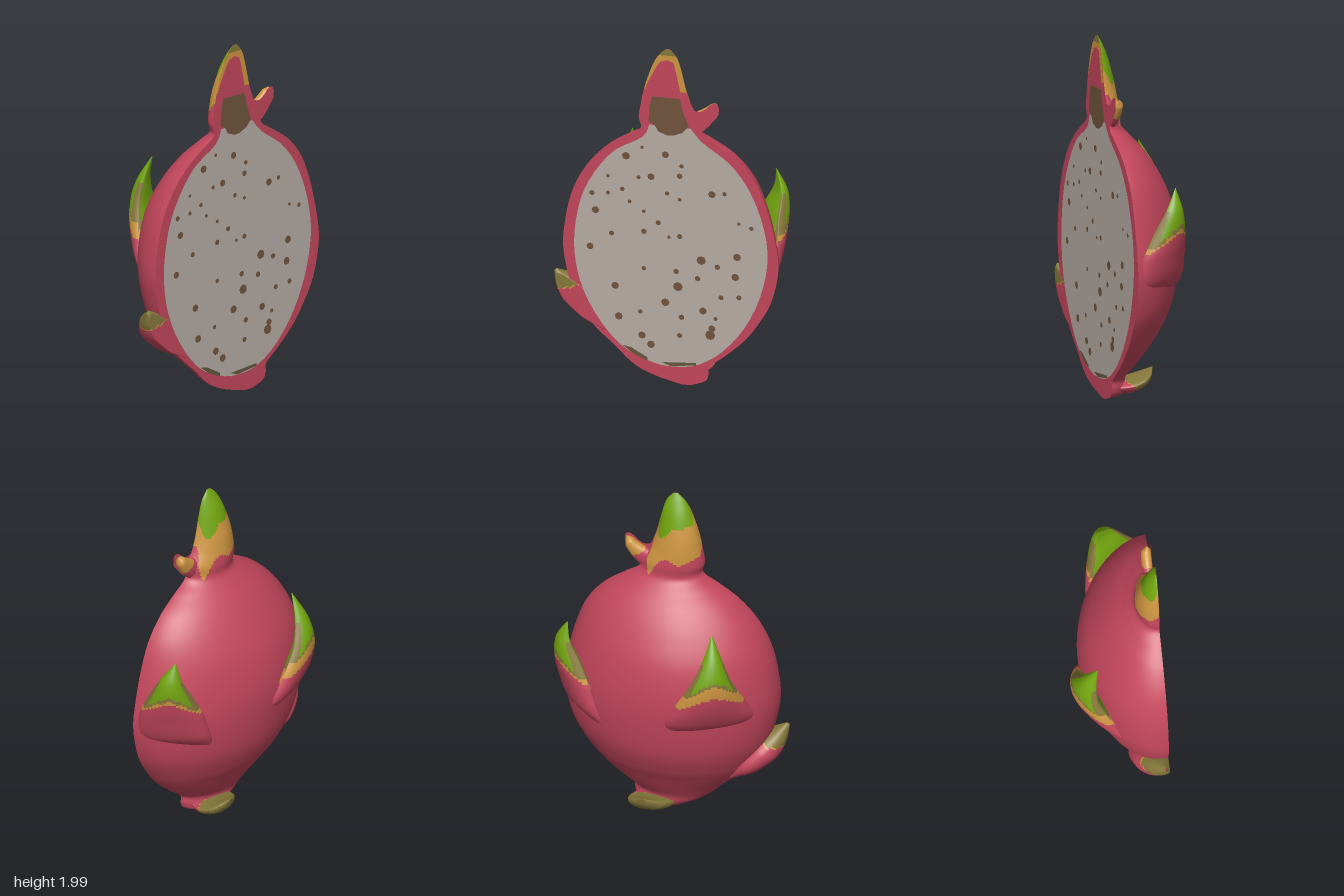
import * as THREE from 'three';
import { mergeGeometries } from 'three/addons/utils/BufferGeometryUtils.js';

const V = (x, y, z) => new THREE.Vector3(x, y, z);
const FRONT = 0.243; // z of the cut face

function mat(name, color) {
  const m = new THREE.MeshStandardMaterial({ color, side: THREE.DoubleSide });
  m.name = name;
  return m;
}

// Smooth surface through rings of points; pick() chooses a material index per quad
function loft(ring, nu, nv, pick) {
  const pos = [], buckets = [[], [], [], []];
  for (let i = 0; i <= nu; i++) {
    for (let j = 0; j <= nv; j++) pos.push(...ring(i / nu, j / nv).toArray());
  }
  for (let i = 0; i < nu; i++) {
    for (let j = 0; j < nv; j++) {
      const a = i * (nv + 1) + j, b = a + nv + 1;
      const u = (i + 0.5) / nu, v = (j + 0.5) / nv;
      buckets[pick(u, v, ring(u, v))].push(a, a + 1, b, a + 1, b + 1, b);
    }
  }
  const g = new THREE.BufferGeometry();
  g.setAttribute('position', new THREE.Float32BufferAttribute(pos, 3));
  g.setIndex(buckets.flat());
  let start = 0;
  buckets.forEach((b, k) => {
    if (b.length) g.addGroup(start, b.length, k);
    start += b.length;
  });
  g.computeVertexNormals();
  return g;
}

// Half rings of the fruit from bottom to tip: y, smallest x, largest x, depth
const RINGS = [
  [0.008, 0.08, 0.13, 0.03], [0.04, -0.05, 0.21, 0.12], [0.08, -0.15, 0.23, 0.14],
  [0.13, -0.22, 0.235, 0.15], [0.2, -0.29, 0.32, 0.195], [0.3, -0.4, 0.425, 0.26],
  [0.4, -0.47, 0.5, 0.325], [0.55, -0.54, 0.58, 0.39], [0.75, -0.58, 0.62, 0.425],
  [0.92, -0.57, 0.6, 0.43], [1.1, -0.53, 0.555, 0.395], [1.25, -0.455, 0.495, 0.325],
  [1.37, -0.35, 0.4, 0.245], [1.45, -0.24, 0.29, 0.17], [1.51, -0.15, 0.2, 0.12],
  [1.58, -0.16, 0.185, 0.12], [1.66, -0.148, 0.14, 0.113], [1.75, -0.13, 0.108, 0.098],
  [1.87, -0.093, 0.08, 0.065], [1.95, -0.055, 0.055, 0.03], [2, -0.008, 0.015, 0.003],
];
const minEdge = new THREE.CatmullRomCurve3(RINGS.map(r => V(r[1], r[0], r[3])), false, 'catmullrom');
const maxEdge = new THREE.CatmullRomCurve3(RINGS.map(r => V(r[2], r[0], r[3])), false, 'catmullrom');

function bodyPoint(u, v) {
  const l = minEdge.getPoint(u), r = maxEdge.getPoint(u), a = v * Math.PI;
  const s = Math.sin(a), c = Math.cos(a), d = Math.max(l.z, 0.002);
  const across = Math.sign(c) * Math.abs(c) ** (c < 0 ? 1.12 : 1.06);
  return V((l.x + r.x) / 2 + (r.x - l.x) / 2 * across - 0.1 * d * s, l.y, FRONT - d * s);
}

// Flat plate on the cut face
function plate(points, z, curved) {
  let pts = points.map(p => new THREE.Vector2(p[0], p[1]));
  if (curved) pts = new THREE.SplineCurve(pts).getPoints(pts.length * 3);
  return new THREE.ShapeGeometry(new THREE.Shape(pts)).translate(0, 0, z);
}

// Outline of the fruit between two heights
function outline(y0, y1) {
  const low = [], high = [];
  for (let i = 0; i <= 120; i++) {
    const a = minEdge.getPoint(i / 120), b = maxEdge.getPoint(i / 120);
    if (a.y < y0 || a.y > y1) continue;
    low.push([a.x, a.y]);
    high.unshift([b.x, b.y]);
  }
  return low.concat(high);
}

// Scale leaf: spine rows are x, y, z, half width, thickness.
// limits: where pink, orange and olive end along the leaf; arch lifts them mid-leaf
function leaf(rows, out, wide, limits, arch, inner) {
  const spine = new THREE.CatmullRomCurve3(rows.map(r => V(r[0], r[1], r[2])));
  const size = new THREE.CatmullRomCurve3(rows.map(r => V(r[3], r[4], 0)));
  const n = V(...out).normalize(), w = V(...wide).normalize();
  const ring = (u, v) => {
    const a = v * Math.PI * 2, s = Math.sin(a), d = size.getPoint(u);
    const p = spine.getPoint(u)
      .addScaledVector(w, d.x * Math.cos(a))
      .addScaledVector(n, d.y * (s > 0 ? s : s * inner));
    p.z = Math.min(p.z, FRONT + 0.0005);
    return p;
  };
  return loft(ring, 48, 40, (u, v) => {
    const a = v * Math.PI * 2, edge = Math.abs(Math.cos(a));
    const lift = Math.sin(a) > 0 ? -arch * (1 - edge) : 0.06;
    const t = u + 0.015 * Math.sin(a * 5) + lift;
    if (t < limits[0]) return 0;
    if (t < limits[1]) return 1;
    return t < limits[2] || (edge > 0.92 && u < 0.8) ? 3 : 2;
  });
}

// Seeds as x, y, radius in hundredths
const SEEDS = [
  -23, 134, 2.2, -14, 140, 1, -1, 137, 2, 8, 131, 1.3, 7, 125, 1.6, -9, 123, 2, -16, 122, 1.2, -33, 121, 1,
  -40, 100, 2.1, -42, 110, 1.5, -33, 111, 1.2, -25, 114, 1.3, 7, 111, 1.1, 25, 116, 2.1, 32, 117, 1.3, 0, 114, 1.3,
  -21, 107, 1.1, -13, 102, 1.1, -13, 90, 1.6, -5, 96, 1.5, -31, 87, 1.5, -43, 78, 2, 1, 88, 1, 7, 89, 1.5,
  19, 76, 2.6, 28, 73, 1.6, 39, 80, 2.2, 47, 98, 1.3, 40, 100, 1, 38, 68, 2.2, 40, 56, 1.5, 6, 59, 2.7,
  17, 65, 1.6, 5, 68, 1.6, -13, 68, 1.3, -29, 56, 2.1, -1, 49, 2.3, 8, 41, 1.6, 20, 46, 2.1, -27, 38, 2.2,
  24, 32, 2.8, 25, 36, 2, -14, 28, 2.1, -9, 23, 2.2, 7, 30, 1.5, 30, 55, 1.5, -15, 42, 1.3, 27, 42, 1.2,
];

export function createModel() {
  const group = new THREE.Group();
  const pink = mat('pink rind', 0xc2465b);
  const orange = mat('orange band', 0xcc9440);
  const green = mat('leaf green', 0x72a50f);
  const olive = mat('olive edge', 0x85773a);
  const stain = mat('dark stain', 0x62563a);
  const flesh = mat('pale flesh', 0xb5aaa2);
  const brown = mat('brown core', 0x70533c);
  const skin = [pink, orange, green, olive];
  const add = (name, geometry, material) => {
    const m = new THREE.Mesh(geometry, material);
    m.name = name;
    group.add(m);
  };

  // Rounded back with the stem tip; the orange band runs down one side
  add('rind', loft(bodyPoint, 160, 60, (u, v, p) => {
    const c = Math.cos(v * Math.PI), wave = 0.012 * Math.sin(v * 19);
    const streak = 0.1 * Math.exp(-(((c - 0.72) / 0.17) ** 2));
    if (p.y < 1.615 + wave - streak + 0.08 * Math.abs(c) ** 8) return 0;
    return p.y < 1.82 + wave - 0.1 * Math.max(0, c) + 0.1 * c ** 16 ? 1 : 2;
  }), skin);

  // Cut face, layered
  add('cutFace', plate(outline(0, 2.1), FRONT), pink);
  add('stemEdge', plate(outline(1.74, 1.965), FRONT + 0.001), orange);
  add('stemTip', plate(outline(1.955, 2.1), FRONT + 0.0015), olive);
  add('stemFace', plate([[-0.135, 1.72], [-0.105, 1.8], [-0.065, 1.88], [-0.04, 1.92], [0, 1.935],
    [0.035, 1.92], [0.05, 1.86], [0.075, 1.74], [0.1, 1.68]], FRONT + 0.002), pink);
  add('flesh', plate([[-0.1, 1.54], [-0.14, 1.46], [-0.3, 1.36], [-0.42, 1.2], [-0.49, 1.03], [-0.52, 0.8],
    [-0.49, 0.58], [-0.4, 0.38], [-0.26, 0.21], [-0.1, 0.13], [0.02, 0.11], [0.16, 0.13], [0.3, 0.22],
    [0.43, 0.38], [0.52, 0.58], [0.56, 0.8], [0.535, 1], [0.46, 1.2], [0.35, 1.35], [0.2, 1.46],
    [0.13, 1.54]], FRONT + 0.002, true), flesh);
  add('core', plate([[-0.085, 1.71], [0.07, 1.71], [0.09, 1.63], [0.12, 1.55], [0.085, 1.51], [0.04, 1.49],
    [0, 1.485], [-0.05, 1.505], [-0.07, 1.54], [-0.105, 1.56], [-0.1, 1.63]], FRONT + 0.003), brown);
  add('lowerStain', mergeGeometries([
    plate([[-0.25, 0.21], [-0.2, 0.2], [-0.11, 0.15], [-0.11, 0.13], [-0.19, 0.165]], FRONT + 0.003),
    plate([[-0.03, 0.13], [0.16, 0.145], [0.16, 0.13], [0.02, 0.112]], FRONT + 0.003),
  ]), stain);
  const seeds = [];
  for (let i = 0; i < SEEDS.length; i += 3) {
    seeds.push(new THREE.CircleGeometry(SEEDS[i + 2] / 100, 8)
      .translate(SEEDS[i] / 100, SEEDS[i + 1] / 100, FRONT + 0.004));
  }
  add('seeds', mergeGeometries(seeds), brown);

  // Leaves growing out of the rind
  add('leftLeaf', leaf([
    [0.43, 0.62, 0.09, 0.19, 0.03], [0.475, 0.73, 0.075, 0.2, 0.085], [0.505, 0.87, 0.065, 0.175, 0.1],
    [0.535, 1.01, 0.045, 0.115, 0.095], [0.565, 1.13, 0.02, 0.06, 0.05], [0.55, 1.24, 0, 0.002, 0.002],
  ], [0.82, 0, -0.57], [0.57, 0, 0.82], [0.45, 0.48, 0.52], 0.17, 0.2), skin);
  add('backLeaf', leaf([
    [-0.245, 0.66, -0.02, 0.2, 0.02], [-0.26, 0.78, -0.075, 0.25, 0.085], [-0.27, 0.92, -0.125, 0.19, 0.1],
    [-0.285, 1.07, -0.16, 0.11, 0.08], [-0.29, 1.2, -0.15, 0.055, 0.05], [-0.28, 1.34, -0.11, 0.002, 0.002],
  ], [-0.43, 0, -0.9], [0.9, 0, -0.43], [0.4, 0.5, 0.53], 0.15, 0.3), skin);
  add('rightLeaf', leaf([
    [-0.33, 0.3, 0.19, 0.1, 0.03], [-0.43, 0.4, 0.18, 0.14, 0.08], [-0.515, 0.48, 0.185, 0.12, 0.085],
    [-0.58, 0.55, 0.205, 0.075, 0.055], [-0.628, 0.612, 0.225, 0.006, 0.01],
  ], [-0.8, -0.6, 0], [0, 0, 1], [0.66, 0.67, 2], 0.05, 0.9), skin);
  add('bottomLeaf', leaf([
    [0.09, 0.075, 0.2, 0.11, 0.05], [0.105, 0.085, 0.12, 0.125, 0.055], [0.12, 0.11, 0.045, 0.105, 0.045],
    [0.13, 0.14, 0, 0.06, 0.028], [0.13, 0.17, -0.03, 0.002, 0.002],
  ], [0, -1, -0.5], [1, 0, 0], [0.3, 0.31, 2], 0.1, 0.5), skin);
  add('stemLeaf', leaf([
    [0.15, 1.57, 0.22, 0.03, 0.062], [0.19, 1.595, 0.22, 0.032, 0.052], [0.23, 1.63, 0.22, 0.032, 0.04],
    [0.258, 1.665, 0.22, 0.028, 0.029], [0.272, 1.692, 0.225, 0.004, 0.006],
  ], [0.7, -0.7, 0], [0, 0, 1], [0.36, 2, 2], 0, 1), skin);
  // Pink cut side of the small stem leaf
  add('stemLeafFace', plate([[0.11, 1.7], [0.14, 1.655], [0.18, 1.645], [0.215, 1.665], [0.24, 1.69],
    [0.265, 1.702], [0.285, 1.69], [0.286, 1.645], [0.268, 1.61], [0.19, 1.525], [0.14, 1.56]],
  FRONT + 0.0015, true), pink);

  return group;
}
